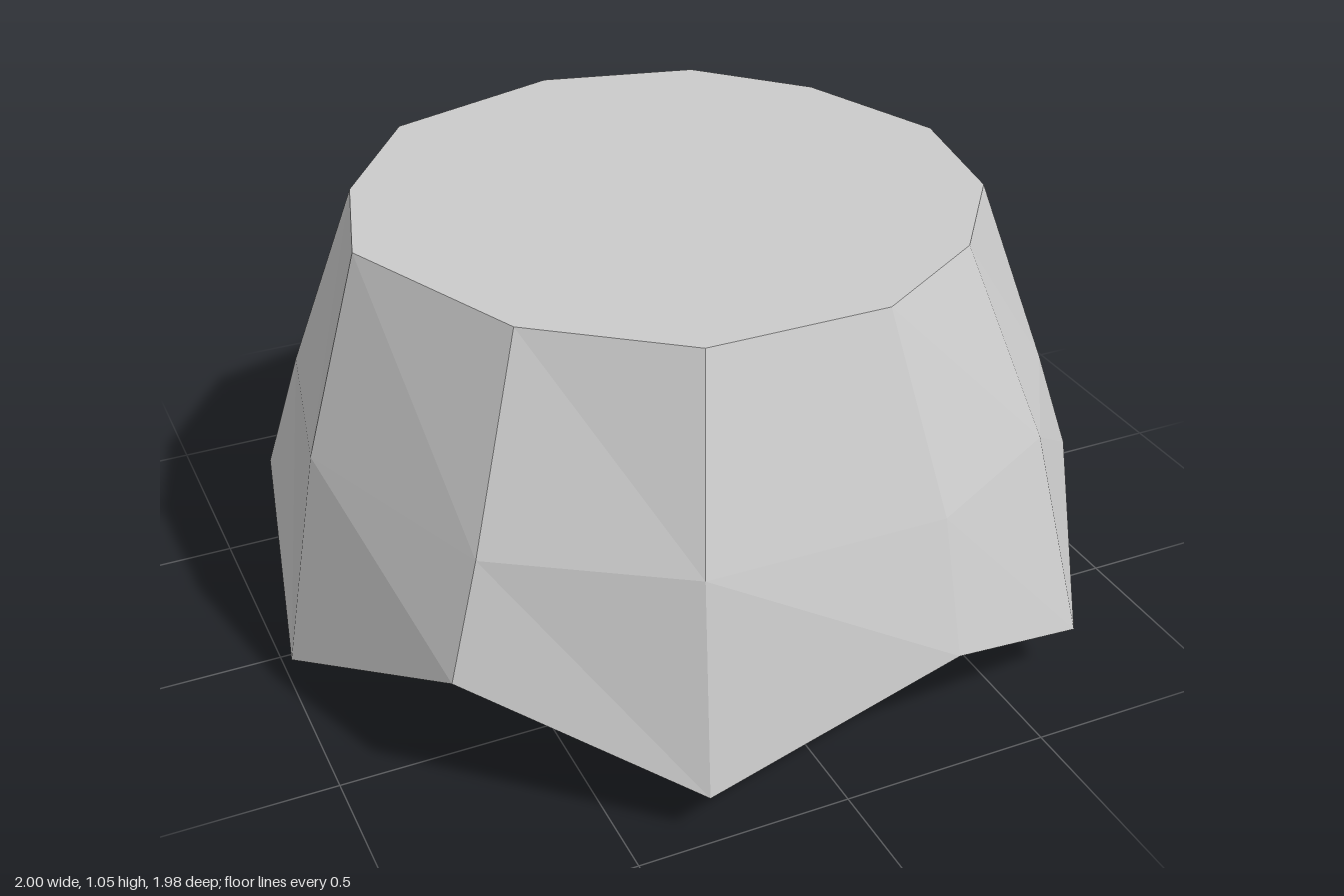
import * as THREE from 'three';

const TOP_Y = 1.05;
const MID_Y = 0.6;

// One entry per rib, running from the back round by the left side:
// top x, z | waist x, z | hem x, z, y
const RIBS = [
  [0, -0.73, -0.06, -0.89, -0.06, -0.99, 0.35],
  [0.38, -0.64, 0.49, -0.8, 0.61, -0.88, 0],
  [0.61, -0.4, 0.76, -0.52, 0.84, -0.54, 0.36],
  [0.75, -0.04, 0.9, -0.1, 1, -0.14, 0.1],
  [0.69, 0.3, 0.84, 0.38, 0.92, 0.41, 0.35],
  [0.49, 0.56, 0.63, 0.7, 0.69, 0.83, 0.13],
  [0.19, 0.74, 0.265, 0.895, 0.265, 0.99, 0.3],
  [-0.235, 0.74, -0.3, 0.89, -0.33, 0.99, 0.115],
  [-0.55, 0.5, -0.7, 0.63, -0.78, 0.67, 0.335],
  [-0.75, 0.04, -0.9, 0.1, -1, 0.13, 0.085],
  [-0.66, -0.28, -0.81, -0.35, -0.89, -0.4, 0.3],
  [-0.44, -0.59, -0.55, -0.74, -0.625, -0.84, 0.085],
];

function buildGeometry(positions, indices) {
  const geometry = new THREE.BufferGeometry();
  geometry.setAttribute('position', new THREE.Float32BufferAttribute(positions, 3));
  geometry.setIndex(indices);
  geometry.computeVertexNormals();
  return geometry;
}

// Join successive rings of points into a wall that faces outward
function loft(rings) {
  const n = rings[0].length;
  const indices = [];
  for (let r = 0; r < rings.length - 1; r++) {
    for (let i = 0; i < n; i++) {
      const j = (i + 1) % n;
      const a = r * n + i, b = r * n + j, c = a + n, d = b + n;
      indices.push(a, b, c, b, d, c);
    }
  }
  return buildGeometry(rings.flat(2), indices);
}

// Close a ring with a fan that faces up
function fan(ring, y) {
  const n = ring.length;
  const indices = [];
  for (let i = 0; i < n; i++) indices.push(n, (i + 1) % n, i);
  return buildGeometry([...ring.flat(), 0, y, 0], indices);
}

export function createModel() {
  const material = new THREE.MeshStandardMaterial({
    color: 0xcccccc, flatShading: true, side: THREE.DoubleSide,
  });
  const group = new THREE.Group();
  const add = (name, geometry) => {
    const mesh = new THREE.Mesh(geometry, material);
    mesh.name = name;
    group.add(mesh);
  };

  const top = RIBS.map(([x, z]) => [x, TOP_Y, z]);
  const waist = RIBS.map(([, , x, z]) => [x, MID_Y, z]);
  const hem = RIBS.map(([, , , , x, z, y]) => [x, y, z]);

  // Flared, open-bottomed shell with a zigzag hem
  add('flaredWall', loft([top, waist, hem]));
  // Flat lid over the narrow end
  add('flatTop', fan(top, TOP_Y));

  return group;
}
